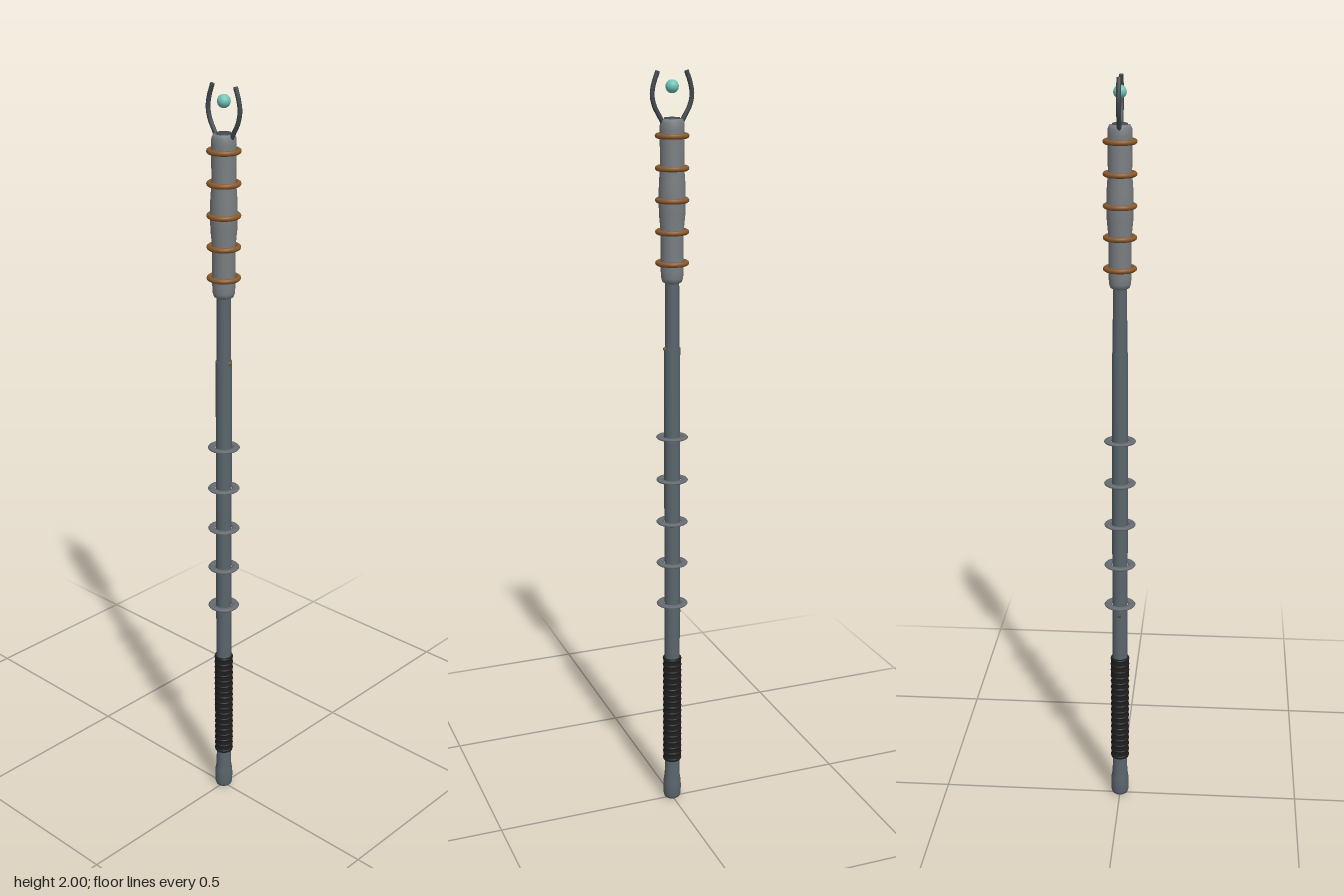
import * as THREE from 'three';

const mat = (name, color) => {
  const m = new THREE.MeshStandardMaterial({ color });
  m.name = name;
  return m;
};

export function createModel() {
  const root = new THREE.Group();
  root.name = 'staff';
  const steel = mat('blue grey steel', 0x59656c);
  const iron = mat('pale iron', 0x7b7f82);
  const ringMetal = mat('ring metal', 0x666c71);
  const darkSteel = mat('dark steel', 0x41494e);
  const leather = mat('black grip', 0x1f1f20);
  const copper = mat('copper', 0x8a5a2c);
  const crystal = mat('teal crystal', 0x70c4b6);

  const add = (name, geometry, material, x = 0, y = 0, z = 0) => {
    const mesh = new THREE.Mesh(geometry, material);
    mesh.name = name;
    mesh.position.set(x, y, z);
    root.add(mesh);
    return mesh;
  };
  const lathe = (points) =>
    new THREE.LatheGeometry(points.map(([r, y]) => new THREE.Vector2(r, y)), 32);
  const rod = (r1, r0, y0, y1) =>
    new THREE.CylinderGeometry(r1, r0, y1 - y0, 32).translate(0, (y0 + y1) / 2, 0);

  // Rounded pommel
  add('pommel', lathe([[0, 0], [0.017, 0.001], [0.022, 0.005], [0.024, 0.013],
    [0.025, 0.035], [0.024, 0.055], [0.021, 0.075], [0.02, 0.13]]), steel);

  // Two-stage shaft
  add('lowerShaft', rod(0.021, 0.021, 0.12, 1.31), steel);
  add('upperShaft', rod(0.018, 0.019, 1.3, 1.5), steel);

  // Grip with wrapped bands
  add('grip', rod(0.0245, 0.0245, 0.122, 0.437), leather);
  const bands = 18;
  for (let i = 0; i < bands; i++) {
    const band = new THREE.TorusGeometry(0.0215, 0.0045, 8, 32).rotateX(Math.PI / 2);
    add('gripBand', band, leather, 0, 0.127 + (i * 0.305) / (bands - 1), 0);
  }

  // Flange rings on the shaft
  for (let i = 0; i < 5; i++) {
    const ring = new THREE.TorusGeometry(0.032, 0.01, 10, 40).rotateX(Math.PI / 2).scale(1, 0.42, 1);
    add('shaftRing', ring, ringMetal, 0, 0.598 + i * 0.118, 0);
  }

  // Small studs on the sides of the shaft
  add('upperStud', new THREE.SphereGeometry(0.005, 12, 8), copper, 0.02, 1.308, 0);
  add('lowerStud', new THREE.SphereGeometry(0.005, 12, 8), darkSteel, -0.02, 0.57, 0);

  // Head sleeve
  add('head', lathe([[0.018, 1.478], [0.025, 1.482], [0.028, 1.492], [0.029, 1.51],
    [0.029, 1.61], [0.033, 1.65], [0.034, 1.69], [0.033, 1.73], [0.03, 1.77],
    [0.031, 1.86], [0.03, 1.877], [0.026, 1.885], [0.02, 1.886]]), iron);
  add('headCap', lathe([[0.021, 1.885], [0.019, 1.889], [0, 1.889]]), darkSteel);

  // Copper coils round the head
  for (let i = 0; i < 5; i++) {
    const coil = new THREE.TorusGeometry(0.0365, 0.0065, 10, 40).rotateX(Math.PI / 2);
    add('copperCoil', coil, copper, 0, 1.53 + i * 0.0788, 0);
  }

  // Pair of curved prongs
  for (const side of [-1, 1]) {
    const path = new THREE.CatmullRomCurve3([
      [0.022, 1.872], [0.033, 1.892], [0.046, 1.916], [0.052, 1.943],
      [0.048, 1.97], [0.038, 1.998],
    ].map(([x, y]) => new THREE.Vector3(side * x, y, 0)));
    add(side > 0 ? 'leftProng' : 'rightProng',
      new THREE.TubeGeometry(path, 28, 0.0058, 10, false), darkSteel);
    const tip = new THREE.CylinderGeometry(0.0058, 0.0058, 0.003, 10);
    add('prongTip', tip, darkSteel, side * 0.038, 1.9985, 0).rotation.z = side * 0.34;
  }

  // Floating crystal orb
  add('orb', new THREE.SphereGeometry(0.0165, 24, 16), crystal, 0, 1.963, 0);

  return root;
}
